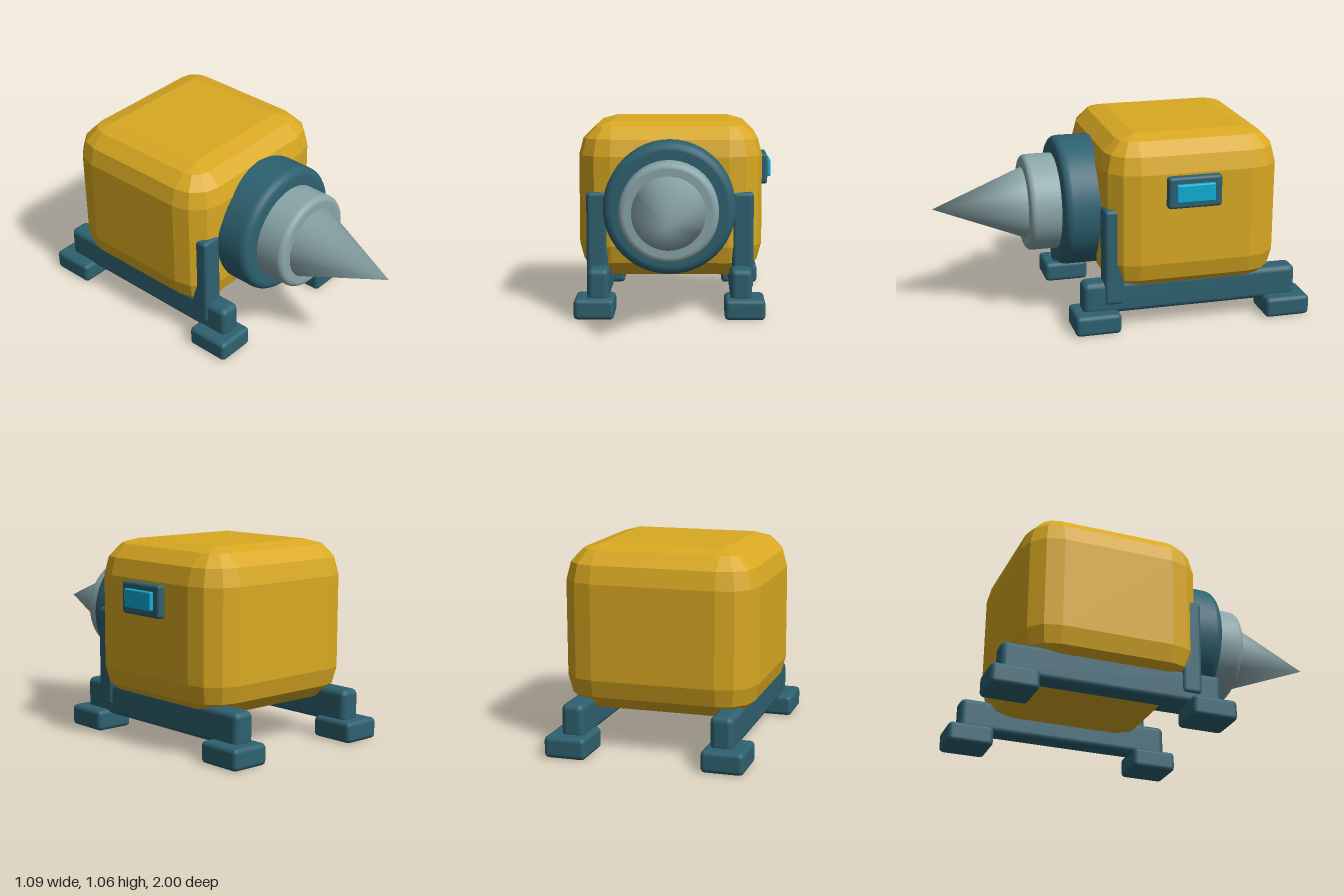
import * as THREE from 'three';
import { RoundedBoxGeometry } from 'three/addons/geometries/RoundedBoxGeometry.js';
import { mergeVertices } from 'three/addons/utils/BufferGeometryUtils.js';

const CX = -0.025; // mirror plane of the machine
const AXIS_Y = 0.61; // height of the drill axis

const material = (name, color, flatShading = false) => {
  const m = new THREE.MeshStandardMaterial({ color, flatShading });
  m.name = name;
  return m;
};

// Box with wide faceted bevels, built from stacked rounded-rectangle loops
function bevelledBox(w, h, d, r, steps) {
  const a = w / 2 - r, b = h / 2 - r, c = d / 2 - r;
  const pos = [], index = [];
  const n = 4 * (steps + 1);
  const quarter = Math.PI / 2;
  for (const end of [-1, 1]) {
    for (let i = 0; i <= steps; i++) {
      const lat = end < 0 ? (i / steps - 1) * quarter : (i / steps) * quarter;
      const y = end * b + r * Math.sin(lat), rr = r * Math.cos(lat);
      for (let q = 0; q < 4; q++) {
        const sx = q === 0 || q === 3 ? 1 : -1, sz = q < 2 ? 1 : -1;
        for (let k = 0; k <= steps; k++) {
          const t = (q + k / steps) * quarter;
          pos.push(sx * a + rr * Math.cos(t), y, sz * c + rr * Math.sin(t));
        }
      }
    }
  }
  const loops = 2 * (steps + 1);
  for (let j = 0; j < loops - 1; j++) {
    for (let i = 0; i < n; i++) {
      const p = j * n + i, q = j * n + (i + 1) % n;
      index.push(p, p + n, q, q, p + n, q + n);
    }
  }
  // flat bottom and top
  const top = (loops - 1) * n;
  for (let i = 1; i < n - 1; i++) {
    index.push(0, i, i + 1, top, top + i + 1, top + i);
  }
  const g = new THREE.BufferGeometry();
  g.setAttribute('position', new THREE.Float32BufferAttribute(pos, 3));
  g.setIndex(index);
  g.computeVertexNormals();
  return g;
}

// Round drum along z with a softened front edge
function drum(radius, back, front, bevel) {
  const pts = [[0, back], [radius, back], [radius, back + 0.001], [radius, front - bevel - 0.002]];
  for (let i = 0; i <= 4; i++) {
    const t = (i / 4) * Math.PI / 2;
    pts.push([radius - bevel + bevel * Math.cos(t), front - bevel + bevel * Math.sin(t)]);
  }
  pts.push([radius - bevel - 0.002, front], [0, front]);
  return new THREE.LatheGeometry(pts.map(([x, y]) => new THREE.Vector2(x, y)), 48).rotateX(Math.PI / 2);
}

export function createModel() {
  const model = new THREE.Group();
  model.name = 'drillMachine';
  const yellow = material('yellowPaint', 0xd9a922, true);
  const teal = material('tealMetal', 0x2e6170);
  const steel = material('paleSteel', 0x8ba6aa);
  const cyan = material('cyanScreen', 0x0fadd6);

  const add = (name, geometry, mat, x, y, z) => {
    const mesh = new THREE.Mesh(geometry, mat);
    mesh.name = name;
    mesh.position.set(x, y, z);
    model.add(mesh);
  };
  // Rounded block given by its extents on each axis
  const block = (name, mat, [x0, x1], [y0, y1], [z0, z1], r) =>
    add(name, new RoundedBoxGeometry(x1 - x0, y1 - y0, z1 - z0, 2, r), mat,
      (x0 + x1) / 2, (y0 + y1) / 2, (z0 + z1) / 2);

  // Body
  add('body', bevelledBox(1.02, 0.867, 0.975, 0.185, 3), yellow, CX, 0.622, -0.338);

  // Drill head: housing ring, collar and pointed bit
  add('drillHousing', drum(0.357, 0.09, 0.335, 0.04), teal, CX, AXIS_Y, 0);
  add('drillCollar', drum(0.264, 0.3, 0.503, 0.028), steel, CX, AXIS_Y, 0);
  let bit = new THREE.ConeGeometry(0.2, 0.51, 48).rotateX(Math.PI / 2);
  bit.deleteAttribute('uv');
  bit.deleteAttribute('normal');
  bit = mergeVertices(bit);
  bit.computeVertexNormals();
  add('drillBit', bit, steel, CX, AXIS_Y, 0.745);

  // Skids: rail, front post and two feet on each side
  for (const [side, s] of [['left', 1], ['right', -1]]) {
    const span = (a, b) => (s > 0 ? [CX + a, CX + b] : [CX - b, CX - a]);
    block(side + 'Rail', teal, span(0.33, 0.45), [0.09, 0.27], [-0.935, 0.265], 0.032);
    block(side + 'Post', teal, span(0.343, 0.46), [0.142, 0.677], [0.038, 0.15], 0.022);
    block(side + 'FrontFoot', teal, span(0.3, 0.52), [0, 0.113], [0.07, 0.32], 0.024);
    block(side + 'RearFoot', teal, span(0.3, 0.52), [0, 0.113], [-1, -0.748], 0.024);
  }

  // Control panel on the left flank
  block('panelFrame', teal, [0.465, 0.524], [0.688, 0.86], [-0.465, -0.17], 0.016);
  block('panelScreen', cyan, [0.505, 0.544], [0.726, 0.824], [-0.422, -0.21], 0.008);

  return model;
}
